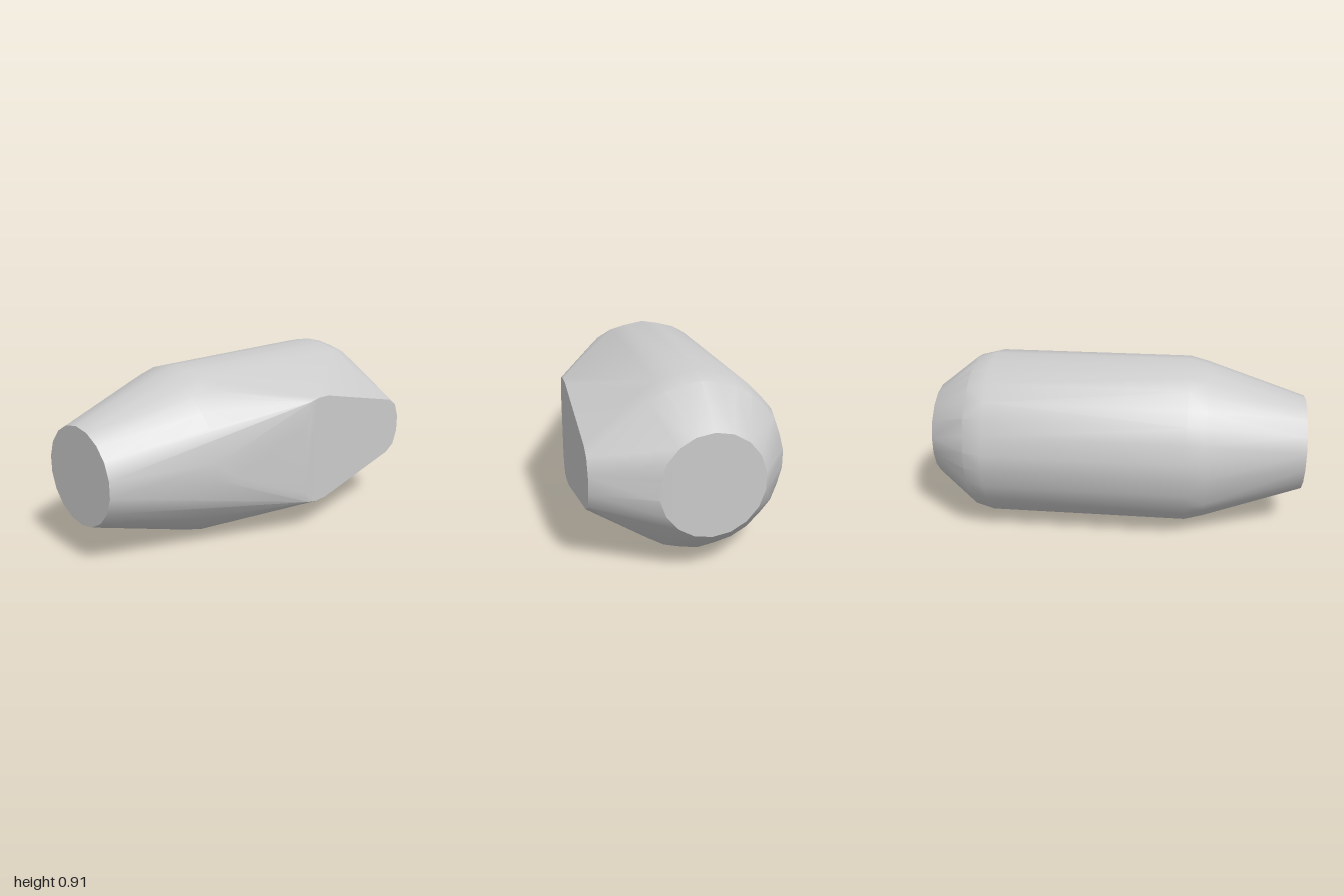
import * as THREE from 'three';
import { ConvexGeometry } from 'three/addons/geometries/ConvexGeometry.js';
import { toCreasedNormals } from 'three/addons/utils/BufferGeometryUtils.js';

const CX = -0.05, CY = 0.457; // long axis of the body
const CORE = 0.257, ROUND = 0.2;

// Points of a regular polygon, starting at the top
function ring(count, radius) {
  return Array.from({ length: count }, (_, i) => {
    const a = Math.PI / 2 + (i / count) * Math.PI * 2;
    return new THREE.Vector2(Math.cos(a) * radius, Math.sin(a) * radius);
  });
}

export function createModel() {
  const group = new THREE.Group();
  const points = [];

  for (const c of ring(18, CORE)) {
    // Flat end discs
    for (const z of [-1, 1]) points.push(new THREE.Vector3(CX + c.x, CY + c.y, z));
    // Wide barrel with softened shoulders
    for (const [z, r] of [[0.48, 0.866], [0.38, 1], [-0.68, 1], [-0.78, 0.866]]) {
      for (const d of ring(12, ROUND * r)) {
        points.push(new THREE.Vector3(CX + c.x + d.x, CY + c.y + d.y, z));
      }
    }
  }

  // Flat side facet, as z and half height, mirrored up and down
  const facet = [[-0.03, 0.14], [-0.04, 0.22], [-0.07, 0.28], [-0.13, 0.291], [-0.21, 0.289],
    [-0.77, 0.16], [-0.83, 0.122], [-0.86, 0.045]];
  for (const [z, h] of facet) {
    for (const s of [-1, 1]) points.push(new THREE.Vector3(0.5, CY + s * h, z));
  }

  const body = new THREE.Mesh(
    toCreasedNormals(new ConvexGeometry(points), 0.45),
    new THREE.MeshStandardMaterial({ color: 0xcccccc })
  );
  body.name = 'body';
  group.add(body);
  return group;
}
